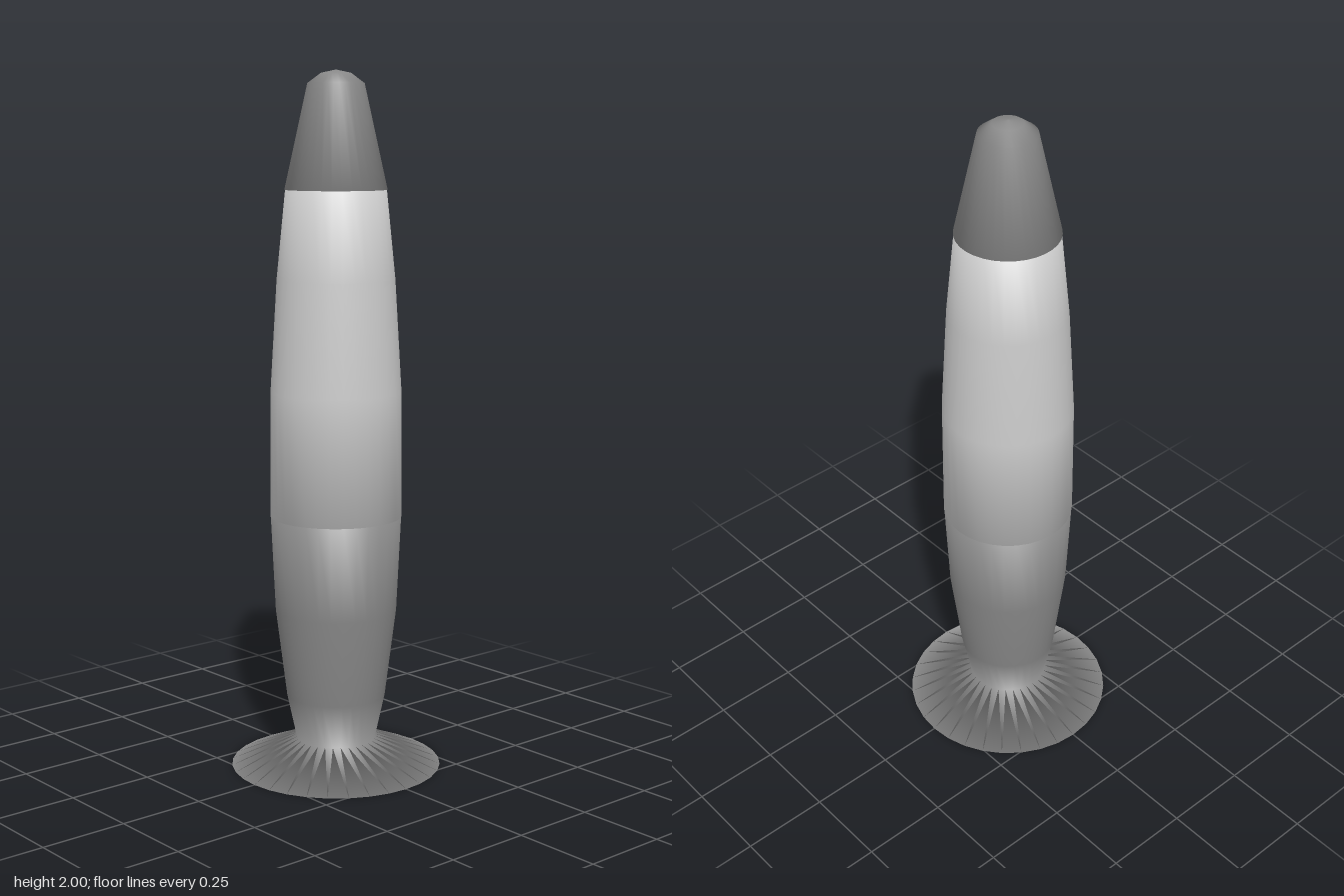
import * as THREE from 'three';

const metal = new THREE.MeshStandardMaterial({ color: 0x888888 });
const glass = new THREE.MeshStandardMaterial({ color: 0xcccccc });

// Closed solid of revolution from [radius, height] points, bottom to top
function turned(name, profile, material) {
  const points = profile.map(([r, y]) => new THREE.Vector2(r, y));
  const mesh = new THREE.Mesh(new THREE.LatheGeometry(points, 32), material);
  mesh.name = name;
  return mesh;
}

export function createModel() {
  const lamp = new THREE.Group();
  lamp.name = 'lavaLamp';

  // Flared foot and the tapered holder above its waist
  lamp.add(turned('base', [
    [0, 0], [0.305, 0], [0.115, 0.08],
    [0.143, 0.21], [0.175, 0.465], [0.188, 0.74], [0, 0.74],
  ], metal));

  // Glass vessel, narrowing towards the top
  lamp.add(turned('glassVessel', [
    [0, 0.74], [0.189, 0.74], [0.187, 1.1],
    [0.168, 1.42], [0.143, 1.67], [0, 1.67],
  ], glass));

  // Conical cap with a shallow domed tip
  lamp.add(turned('cap', [
    [0, 1.67], [0.145, 1.67], [0.08, 1.963], [0.042, 1.991], [0, 2],
  ], metal));

  return lamp;
}
